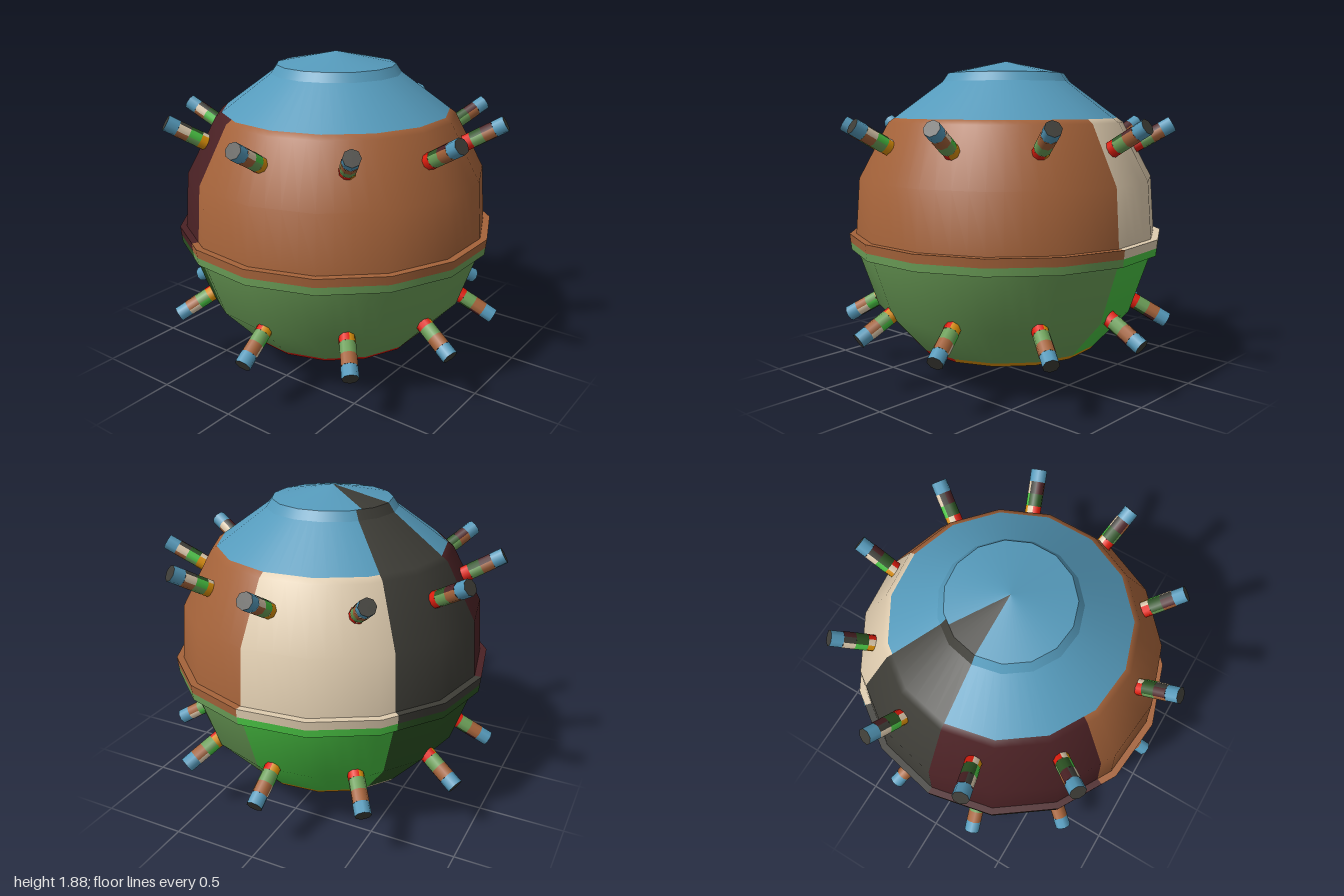
import * as THREE from 'three';
import { mergeGeometries } from 'three/addons/utils/BufferGeometryUtils.js';

const rad = THREE.MathUtils.degToRad;

const colours = {
  brown: 0xa5633a, blue: 0x559abb, cream: 0xdfccaf, charcoal: 0x3d3c36, maroon: 0x4a2124,
  sage: 0x6c9f58, brightGreen: 0x4ac444, darkGreen: 0x2c5323, red: 0xe01c0c, orange: 0xdc9008,
};

// Colour sectors of each band: [colour, from, to] in degrees, 0 = front, 90 = left (+x)
const baseSectors = [['red', 180, 372], ['orange', 12, 138], ['cream', 138, 180]];
const lowerSectors = [['sage', -114, 84], ['brightGreen', 84, 138], ['darkGreen', 138, 246]];
const upperSectors = [['brown', -114, 84], ['cream', 84, 138], ['charcoal', 138, 180], ['maroon', 180, 246]];
const crownSectors = [['blue', 180, 498], ['charcoal', 138, 180]];
const capSectors = [['blue', 180, 504], ['charcoal', 144, 180]];

export function createModel() {
  const model = new THREE.Group();
  model.name = 'studdedSphere';

  const materials = {};
  for (const [name, color] of Object.entries(colours)) {
    materials[name] = new THREE.MeshStandardMaterial({ color });
    materials[name].name = name;
  }

  // One mesh from [colour, geometry] pieces, one geometry group per piece
  function paintedMesh(name, pieces) {
    const mesh = new THREE.Mesh(
      mergeGeometries(pieces.map((p) => p[1]), true),
      pieces.map((p) => materials[p[0]]),
    );
    mesh.name = name;
    return mesh;
  }

  // Pull a round lathe in to the flat sides of a 15-sided polygon with a corner at the back
  function facet(geometry) {
    const pos = geometry.attributes.position;
    for (let i = 0; i < pos.count; i++) {
      const x = pos.getX(i), z = pos.getZ(i);
      const angle = THREE.MathUtils.radToDeg(Math.atan2(x, z));
      const rel = THREE.MathUtils.euclideanModulo(Math.round(angle) - 12, 24) - 12;
      const k = Math.cos(rad(12)) / Math.cos(rad(rel));
      pos.setXYZ(i, x * k, pos.getY(i), z * k);
    }
    return geometry;
  }

  // Body band: one or more profiles (sharp edge between them) swept through each sector
  function band(name, sectors, ...profiles) {
    const pieces = [];
    for (const [colour, from, to] of sectors) {
      for (const profile of profiles) {
        const points = profile.map(([r, y]) => new THREE.Vector2(r, y));
        pieces.push([colour, facet(new THREE.LatheGeometry(points, (to - from) / 6, rad(from), rad(to - from)))]);
      }
    }
    model.add(paintedMesh(name, pieces));
  }

  band('bottomCone', baseSectors, [[0, 0], [0.55, 0.185]], [[0.55, 0.185], [0.572, 0.21]]);
  band('lowerShell', lowerSectors, [[0.572, 0.21], [0.78, 0.44], [0.895, 0.78]]);
  band('lowerFlange', lowerSectors, [[0.895, 0.78], [0.93, 0.78]], [[0.93, 0.78], [0.935, 0.825]]);
  band('upperFlange', upperSectors, [[0.935, 0.825], [0.94, 0.875]], [[0.94, 0.875], [0.9, 0.875]]);
  band('upperShell', upperSectors, [[0.9, 0.875], [0.875, 1.2], [0.7, 1.525], [0.665, 1.55]]);
  band('crown', crownSectors, [[0.665, 1.55], [0.38, 1.76]], [[0.38, 1.76], [0.345, 1.81]]);
  band('topCap', capSectors, [[0.345, 1.81], [0, 1.88]]);

  // Stud along +y with its tip at the origin, in four bands of equal length
  const studRadius = 0.047, bandLength = 0.07;
  const studBands = [[['blue', 0, 360]], upperSectors, lowerSectors, baseSectors];

  function stud(name, flipped) {
    const pieces = [];
    studBands.forEach((sectors, i) => {
      for (const [colour, a, b] of sectors) {
        const from = flipped ? 180 - b : a;
        const side = new THREE.CylinderGeometry(
          studRadius, studRadius, bandLength, Math.ceil((b - a) / 45), 1, true, rad(from), rad(b - a),
        );
        pieces.push([colour, side.translate(0, -bandLength * (i + 0.5), 0)]);
      }
    });
    pieces.push(['charcoal', new THREE.CircleGeometry(studRadius, 8).rotateX(-Math.PI / 2)]);
    return paintedMesh(name, pieces);
  }

  // Two rings of ten studs, 35 degrees apart, tilted up above and down below
  const rings = [
    { name: 'upperStud', y: 1.515, tilt: 60, flipped: false },
    { name: 'lowerStud', y: 0.33, tilt: 120, flipped: true },
  ];
  for (const { name, y, tilt, flipped } of rings) {
    const prototype = stud(name, flipped);
    for (let i = 0; i < 10; i++) {
      const angle = rad(276 + 35 * i);
      const copy = prototype.clone();
      copy.rotation.set(rad(tilt), angle, 0, 'YXZ');
      copy.position.set(0.98 * Math.sin(angle), y, 0.98 * Math.cos(angle));
      model.add(copy);
    }
  }

  return model;
}
